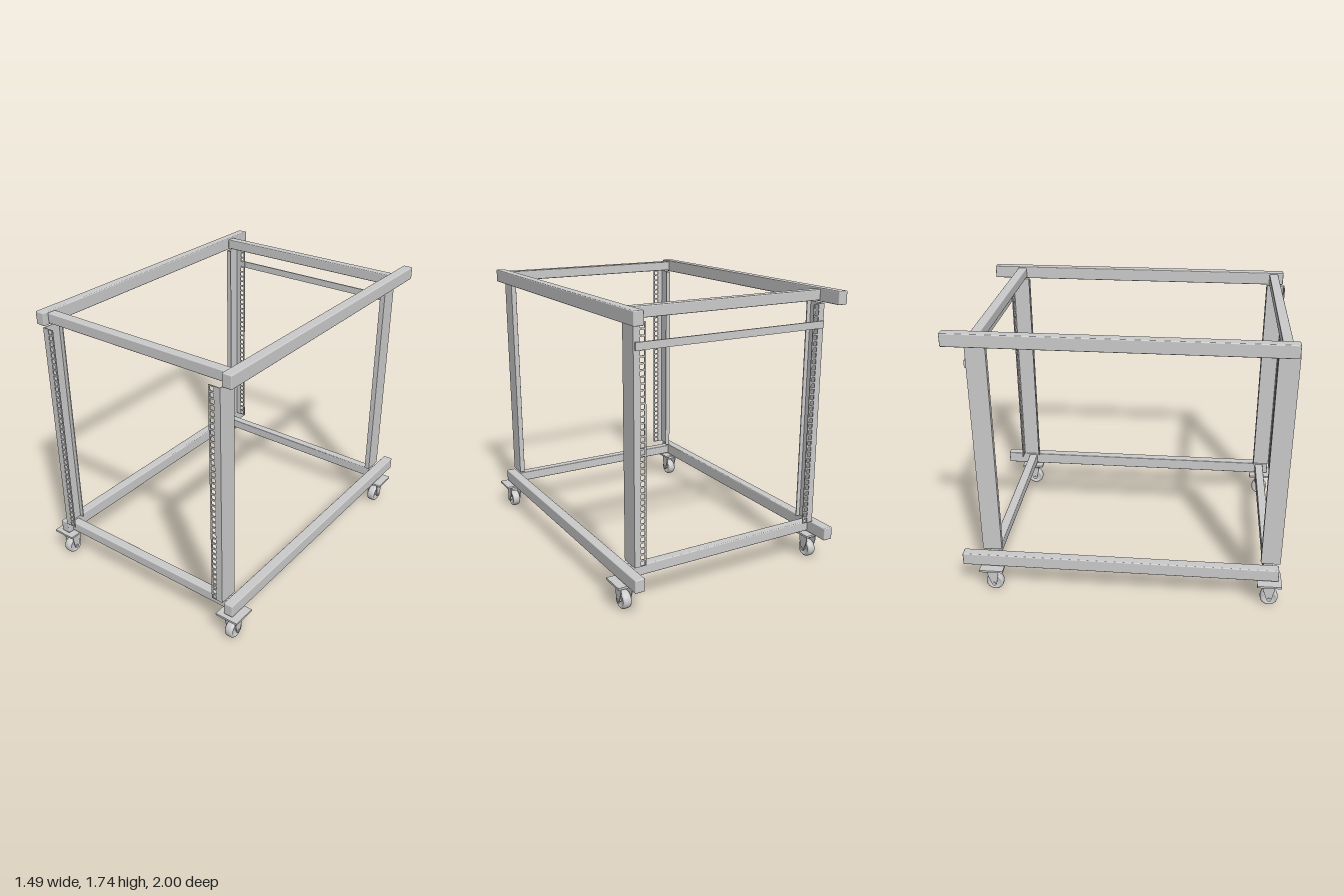
import * as THREE from 'three';
import { RoundedBoxGeometry } from 'three/addons/geometries/RoundedBoxGeometry.js';

const grey = new THREE.MeshStandardMaterial({ color: 0xcccccc });

function add(parent, name, geometry, x = 0, y = 0, z = 0) {
  const mesh = new THREE.Mesh(geometry, grey);
  mesh.name = name;
  mesh.position.set(x, y, z);
  parent.add(mesh);
  return mesh;
}

const box = (w, h, d) => new THREE.BoxGeometry(w, h, d);
const tube = (w, h, d) => new RoundedBoxGeometry(w, h, d, 2, 0.006);

// Square-holed mounting strip, extruded along z
function stripGeometry(x0, x1, height, depth) {
  const shape = new THREE.Shape();
  shape.moveTo(x0, 0).lineTo(x1, 0).lineTo(x1, height).lineTo(x0, height).closePath();
  const count = 38, pitch = height / count, size = 0.026;
  const cx = (x0 + x1) / 2 + (x0 > 0 ? -0.014 : 0.014);
  for (let i = 0; i < count; i++) {
    const cy = (i + 0.5) * pitch, h = size / 2;
    const hole = new THREE.Path();
    hole.moveTo(cx - h, cy - h).lineTo(cx - h, cy + h).lineTo(cx + h, cy + h).lineTo(cx + h, cy - h).closePath();
    shape.holes.push(hole);
  }
  return new THREE.ExtrudeGeometry(shape, { depth, bevelEnabled: false });
}

// Folded sheet post: wide side, holed outer flange, short inner lip
function createPost(side, end) {
  const post = new THREE.Group();
  post.name = (end > 0 ? 'front' : 'back') + (side > 0 ? 'Left' : 'Right') + 'Post';
  const y0 = 0.27, height = 1.385, t = 0.006;
  const outer = end > 0 ? 0.99 : -0.88;
  const inner = outer - end * 0.12;
  add(post, 'postSide', box(t, height, 0.12), side * 0.634, y0 + height / 2, (outer + inner) / 2);
  add(post, 'postLip', box(0.03, height, t), side * 0.619, y0 + height / 2, inner + end * t / 2);
  const [x0, x1] = side > 0 ? [0.561, 0.634] : [-0.634, -0.561];
  add(post, 'holedFlange', stripGeometry(x0, x1, height, t), 0, y0, end > 0 ? outer - t : outer);
  return post;
}

// Swivel caster, origin on the floor below the plate centre
function createCaster() {
  const caster = new THREE.Group();
  caster.name = 'caster';
  add(caster, 'casterPlate', box(0.15, 0.013, 0.15), 0, 0.171, 0);
  add(caster, 'swivel', new THREE.CylinderGeometry(0.04, 0.044, 0.025, 32), 0, 0.152, 0);
  add(caster, 'forkBridge', box(0.082, 0.006, 0.06), 0, 0.138, 0);

  // Tapered fork cheeks
  const cheek = new THREE.Shape();
  cheek.moveTo(-0.032, 0.14).lineTo(0.034, 0.14).lineTo(0.034, 0.115).lineTo(0.02, 0.046);
  cheek.absarc(0.006, 0.052, 0.015, -0.4, -Math.PI + 0.4, true);
  cheek.lineTo(-0.032, 0.115).closePath();
  const cheekGeo = new THREE.ExtrudeGeometry(cheek, { depth: 0.005, bevelEnabled: false });
  cheekGeo.rotateY(-Math.PI / 2);
  for (const x of [-0.034, 0.039]) add(caster, 'forkCheek', cheekGeo, x, 0, 0);

  // Wheel with rounded tread and recessed hub
  const profile = [
    [0.01, -0.019], [0.032, -0.019], [0.038, -0.026], [0.047, -0.026], [0.053, -0.02], [0.055, -0.01],
    [0.055, 0.01], [0.053, 0.02], [0.047, 0.026], [0.038, 0.026], [0.032, 0.019], [0.01, 0.019],
  ].map(([r, y]) => new THREE.Vector2(r, y));
  add(caster, 'wheel', new THREE.LatheGeometry(profile, 36).rotateZ(Math.PI / 2), 0, 0.055, 0.006);
  add(caster, 'axle', new THREE.CylinderGeometry(0.01, 0.01, 0.088, 16).rotateZ(Math.PI / 2), 0, 0.055, 0.006);
  return caster;
}

export function createModel() {
  const model = new THREE.Group();
  model.name = 'rollingRackFrame';

  // Upper and lower frames
  for (const [level, y] of [['lower', 0.224], ['upper', 1.698]]) {
    for (const side of [-1, 1]) {
      add(model, level + 'SideRail', tube(0.062, 0.08, 1.98), side * 0.669, y, -0.01);
    }
    for (const z of [0.915, -0.81]) {
      add(model, level + 'CrossBeam', tube(1.28, 0.064, 0.058), 0, y, z);
    }
  }

  // Posts and casters at the four corners
  for (const side of [-1, 1]) {
    for (const end of [-1, 1]) {
      model.add(createPost(side, end));
      const caster = createCaster();
      caster.position.set(side * 0.671, 0, end > 0 ? 0.925 : -0.813);
      model.add(caster);
    }
  }

  // Thin brace across the back posts
  add(model, 'backBrace', box(1.26, 0.044, 0.01), 0, 1.531, -0.887);
  return model;
}
